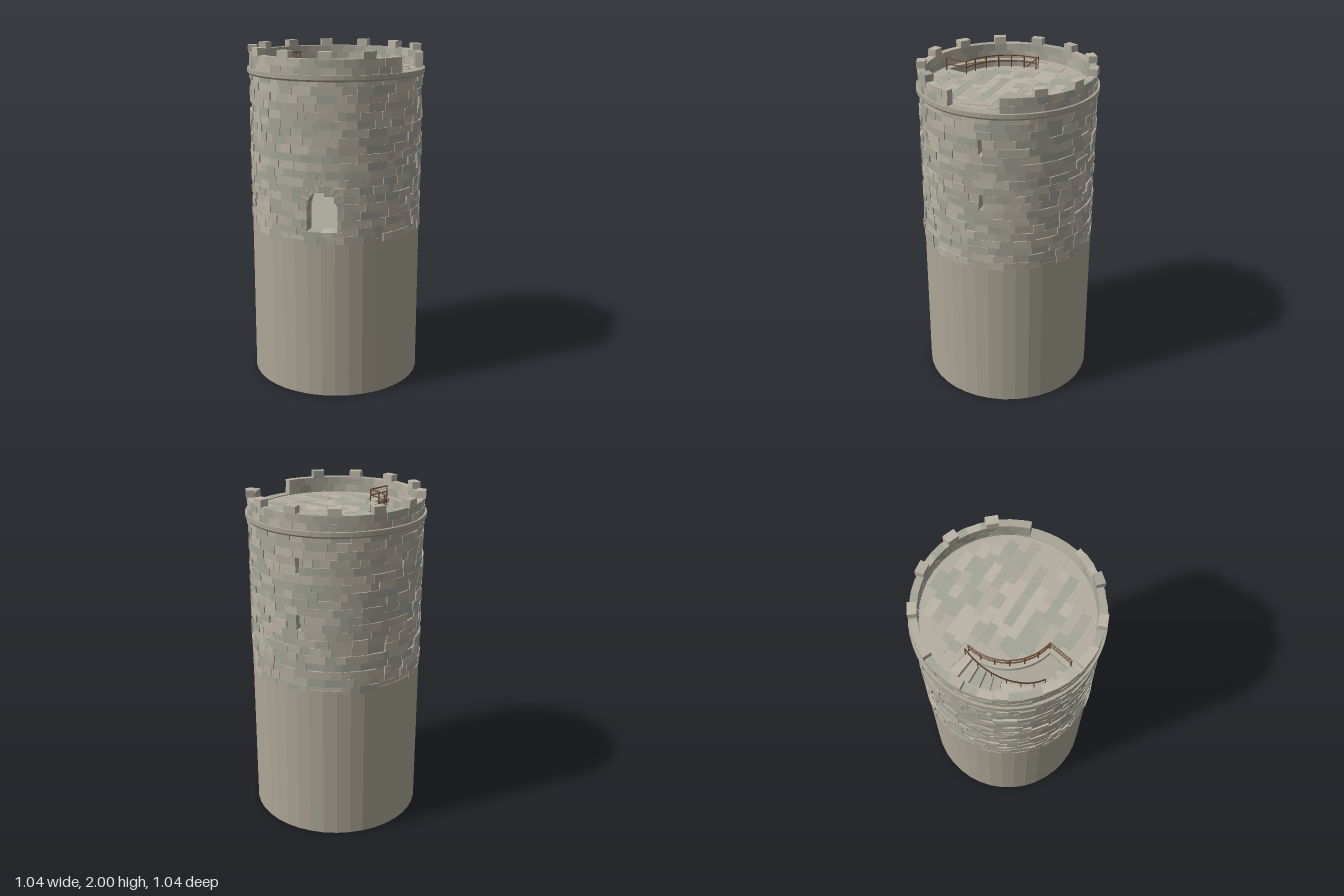
import * as THREE from 'three';
import { mergeGeometries } from 'three/addons/utils/BufferGeometryUtils.js';

const RAD = Math.PI / 180;
const SHADES = [0xb3ad9f, 0xa9a598, 0xbbb4a5, 0xa3a497];
const mat = (color, side = THREE.FrontSide) => new THREE.MeshStandardMaterial({ color, flatShading: true, side });

// Point on the tower: angle 0 faces +z and grows towards +x.
const at = (a, y, r) => new THREE.Vector3(r * Math.sin(a), y, r * Math.cos(a));

let seed = 7;
const rnd = (lo = 0, hi = 1) => {
  seed = (seed * 16807) % 2147483647;
  return lo + (hi - lo) * seed / 2147483647;
};

// Stone block bent onto the tower: four [angle, y] corners, counterclockwise from outside.
function block(corners, r0, r1) {
  const inn = corners.map(([a, y]) => at(a, y, r0));
  const out = corners.map(([a, y]) => at(a, y, r1));
  const pos = [];
  const quad = (a, b, c, d) => [a, b, c, a, c, d].forEach(p => pos.push(p.x, p.y, p.z));
  quad(...out);
  quad(inn[3], inn[2], inn[1], inn[0]);
  for (let i = 0; i < 4; i++) {
    const j = (i + 1) % 4;
    quad(inn[i], inn[j], out[j], out[i]);
  }
  const g = new THREE.BufferGeometry();
  g.setAttribute('position', new THREE.Float32BufferAttribute(pos, 3));
  g.computeVertexNormals();
  return g;
}
const brick = (a0, a1, y0, y1, r0, r1) => block([[a0, y0], [a1, y0], [a1, y1], [a0, y1]], r0, r1);

// Collects geometries by shade and merges each shade into one mesh.
function stoneGroup(name, fill) {
  const bins = SHADES.map(() => []);
  fill(g => bins[Math.floor(rnd(0, SHADES.length - 0.001))].push(g));
  const group = new THREE.Group();
  group.name = name;
  bins.forEach((bin, i) => {
    if (!bin.length) return;
    const mesh = new THREE.Mesh(mergeGeometries(bin), mat(SHADES[i]));
    mesh.name = `${name}Shade${i + 1}`;
    group.add(mesh);
  });
  return group;
}

const DOOR = { a: 0.324, half: 0.083, bottom: 1.0, spring: 1.157 };
const SLITS = [95 * RAD, 191 * RAD];
const FLOOR = 1.87;
const STAIR = { start: -103 * RAD, end: -13 * RAD, inner: 0.305, outer: 0.432 };

// Angular ranges left open in a course of the wall.
function openings(row, y0, y1) {
  const cuts = [];
  if (y1 > DOOR.bottom && y0 < DOOR.spring + DOOR.half) {
    const dy = Math.max(0, y0 - DOOR.spring);
    const w = Math.sqrt((DOOR.half + 0.003) ** 2 - dy * dy) / 0.5;
    cuts.push([DOOR.a - w, DOOR.a + w]);
  }
  if ([8, 9, 15, 16].includes(row)) SLITS.forEach(a => cuts.push([a - 0.024, a + 0.024]));
  return cuts;
}

function wallStones(add) {
  const h = 0.0465;
  for (let row = 0; row < 20; row++) {
    const y0 = 0.93 + row * h, y1 = y0 + h;
    const cuts = openings(row, y0, y1);
    const start = -1 + rnd(0, 0.15), end = start + 2 * Math.PI;
    for (let a = start; a < end - 0.001;) {
      let next = a + rnd(0.08, 0.24);
      if (next > end - 0.06) next = end;
      let parts = [[a, next]];
      for (const [c0, c1] of cuts) {
        parts = parts.flatMap(([p, q]) => (q <= c0 || p >= c1) ? [[p, q]] : [[p, Math.min(q, c0)], [Math.max(p, c1), q]]);
      }
      const r = rnd(0.502, 0.514);
      parts.filter(([p, q]) => q - p > 0.004).forEach(([p, q]) => add(brick(p, q, y0, y1, 0.43, r)));
      a = next;
    }
  }
}

function doorStones(add) {
  // Arch stones
  const n = 9;
  const p = (t, r) => [DOOR.a + r * Math.cos(t) / 0.5, DOOR.spring + r * Math.sin(t)];
  for (let i = 0; i < n; i++) {
    const t0 = Math.PI * i / n, t1 = Math.PI * (i + 1) / n, tm = (t0 + t1) / 2;
    const o = rnd(0.115, 0.125), r = rnd(0.508, 0.514);
    add(block([p(t0, 0.08), p(t0, o), p(tm, o), p(tm, 0.08)], 0.428, r));
    add(block([p(tm, 0.08), p(tm, o), p(t1, o), p(t1, 0.08)], 0.428, r));
  }
  // Sill
  for (let i = -2; i < 2; i++) {
    add(brick(DOOR.a + i * 0.11, DOOR.a + (i + 1) * 0.11, 0.975, 1.003, 0.428, 0.519));
  }
}

function parapetStones(add) {
  const first = 107 * RAD, last = 433 * RAD, count = 36;
  for (let row = 0; row < 2; row++) {
    const shift = row * 0.5;
    for (let i = 0; i < count + row; i++) {
      const f = k => first + (last - first) * Math.min(count, Math.max(0, k - shift)) / count;
      add(brick(f(i), f(i + 1), 1.87 + row * 0.045, 1.915 + row * 0.045, 0.467, rnd(0.506, 0.512)));
    }
  }
}

function merlons(add) {
  for (let k = -5; k <= 5; k++) {
    const a = -Math.PI / 2 + k * 2 * Math.PI / 13;
    add(brick(a - 0.071, a + 0.071, 1.955, 2, 0.465, 0.515));
  }
}

function floorTiles(add) {
  const bad = (x, z) => {
    const r = Math.hypot(x, z), a = Math.atan2(x, z);
    return r > 0.455 || (r > 0.295 && a > STAIR.start - 0.03 && a < STAIR.end + 0.03);
  };
  for (let z = -0.44; z < 0.43; z += 0.055) {
    for (let x = -0.45 + rnd(0, 0.05); x < 0.45;) {
      const w = rnd(0.05, 0.13), h = rnd(0.002, 0.004);
      const test = [0, 0.5, 1].some(u => [0, 0.5, 1].some(v => bad(x + u * w, z + v * 0.055)));
      if (!test) add(new THREE.BoxGeometry(w, h, 0.055).translate(x + w / 2, FLOOR + h / 2, z + 0.0275));
      x += w;
    }
  }
}

// Spiral stair winding down along the inside of the wall
function stairSteps(add) {
  const n = 22, da = 7.6 * RAD, rise = (FLOOR - 1) / n;
  for (let i = 0; i < n; i++) {
    const a = STAIR.start + i * da, y = FLOOR - 0.005 - i * rise;
    add(brick(a, a + da, y - 0.045, y, STAIR.inner, STAIR.outer));
  }
}

function roofFloor() {
  const flat = (a, r) => new THREE.Vector2(r * Math.sin(a), -r * Math.cos(a));
  const shape = new THREE.Shape().absarc(0, 0, 0.475, 0, 2 * Math.PI);
  const hole = [];
  for (let i = 0; i <= 16; i++) hole.push(flat(THREE.MathUtils.lerp(STAIR.start, STAIR.end, i / 16), STAIR.inner));
  for (let i = 16; i >= 0; i--) hole.push(flat(THREE.MathUtils.lerp(STAIR.start, STAIR.end, i / 16), 0.43));
  shape.holes.push(new THREE.Path(hole));
  return new THREE.ExtrudeGeometry(shape, { depth: 0.025, bevelEnabled: false, curveSegments: 32 })
    .rotateX(-Math.PI / 2).translate(0, FLOOR - 0.025, 0);
}

function railing() {
  const parts = [];
  const bar = (pts, r = 0.004) => parts.push(new THREE.TubeGeometry(
    new THREE.CatmullRomCurve3(pts), pts.length > 2 ? 28 : 1, r, 6));
  const a0 = STAIR.start, a1 = -10.5 * RAD, steps = 12;
  const arc = (y0, y1, r, end) => Array.from({ length: steps + 1 }, (_, i) =>
    at(THREE.MathUtils.lerp(a0, end, i / steps), THREE.MathUtils.lerp(y0, y1, i / steps), r));
  // Guard rail around the stairwell and across its far end
  for (const y of [1.942, 1.908]) {
    bar(arc(y, y, 0.287, a1));
    bar([at(a1, y, 0.285), at(a1, y, 0.432)]);
  }
  for (let i = 0; i <= 6; i++) {
    const a = THREE.MathUtils.lerp(a0, a1, i / 6);
    bar([at(a, FLOOR - 0.01, 0.287), at(a, 1.944, 0.287)]);
  }
  bar([at(a1, FLOOR - 0.01, 0.43), at(a1, 1.944, 0.43)]);
  // Handrail following the steps down
  const end = -17 * RAD, drop = 0.43;
  bar(arc(1.94, 1.94 - drop, 0.312, end));
  for (let i = 0; i <= 6; i++) {
    const a = THREE.MathUtils.lerp(a0, end, i / 6), y = 1.94 - drop * i / 6;
    bar([at(a, y - 0.1, 0.312), at(a, y, 0.312)], 0.003);
  }
  return mergeGeometries(parts);
}

export function createModel() {
  seed = 7;
  const tower = new THREE.Group();
  tower.name = 'tower';
  const add = (name, geometry, material) => {
    const mesh = new THREE.Mesh(geometry, material);
    mesh.name = name;
    tower.add(mesh);
  };

  add('base', new THREE.CylinderGeometry(0.508, 0.508, 0.95, 40).translate(0, 0.475, 0), mat(0xaca695));
  add('hallFloor', new THREE.CylinderGeometry(0.432, 0.432, 0.06, 40).translate(0, 0.97, 0), mat(SHADES[1]));

  tower.add(stoneGroup('wallStones', wallStones));
  tower.add(stoneGroup('doorSurround', doorStones));

  const ledge = [[0.44, 1.84], [0.514, 1.84], [0.522, 1.85], [0.522, 1.875], [0.465, 1.875], [0.465, 1.86]];
  add('ledge', new THREE.LatheGeometry(ledge.map(p => new THREE.Vector2(...p)), 56), mat(0xa9a595, THREE.DoubleSide));

  tower.add(stoneGroup('parapet', parapetStones));
  tower.add(stoneGroup('merlons', merlons));

  add('roofFloor', roofFloor(), mat(SHADES[0]));
  tower.add(stoneGroup('floorTiles', floorTiles));
  tower.add(stoneGroup('stairSteps', stairSteps));
  add('railing', railing(), mat(0x6b4a32, THREE.DoubleSide));
  return tower;
}
